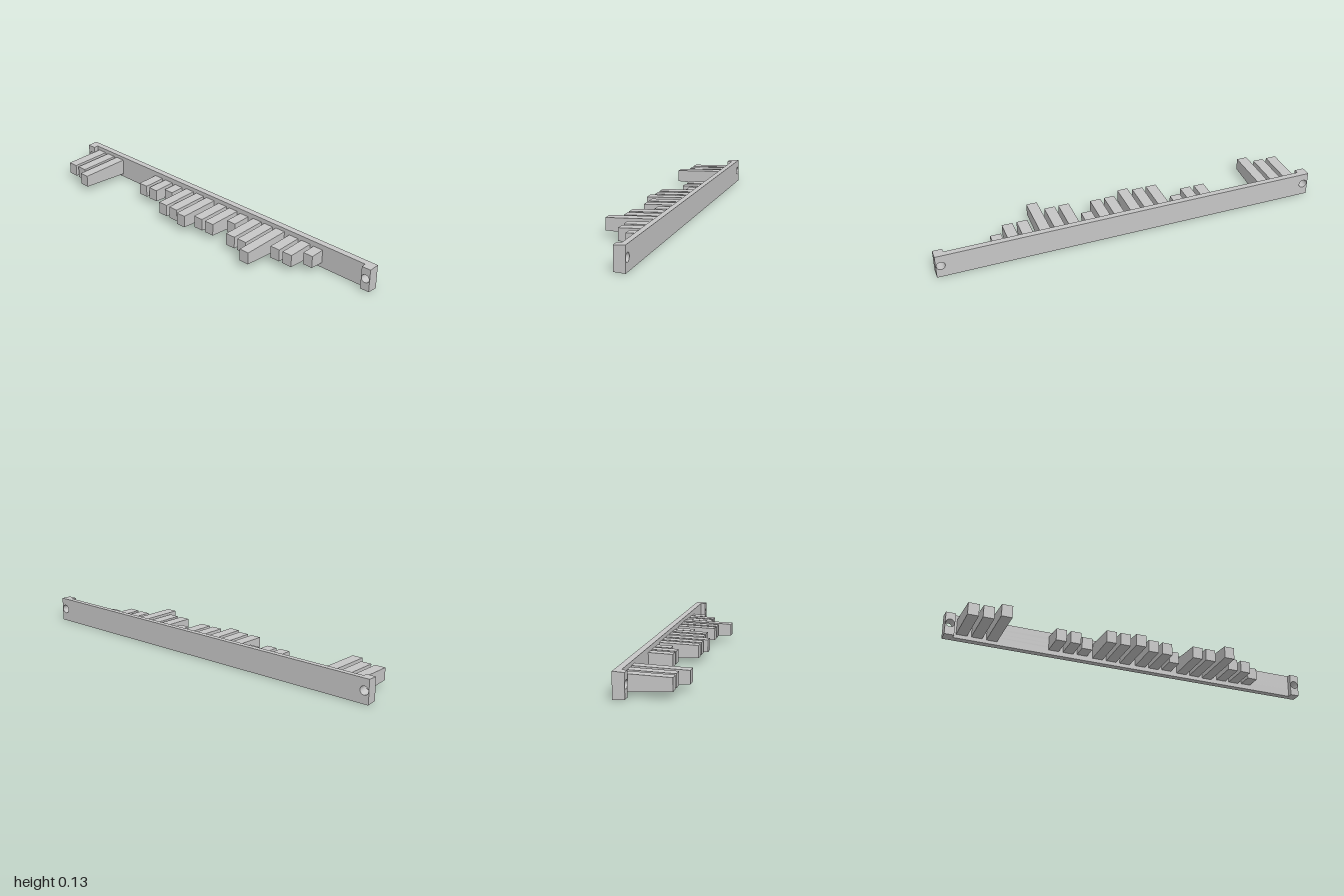
import * as THREE from 'three';

const MID = 0.0627;                       // height of the centre line
const BACK = -0.148, FACE = -0.117, PAD = -0.092;

const grey = new THREE.MeshStandardMaterial({ color: 0xc6c6c6 });
grey.name = 'light grey';

// Scale heights about the centre line as a function of depth (moulding draft)
function draft(geo, scaleAt) {
  const p = geo.attributes.position;
  for (let i = 0; i < p.count; i++) {
    p.setY(i, MID + (p.getY(i) - MID) * scaleAt(p.getZ(i)));
  }
  geo.computeVertexNormals();
  return geo;
}

// Rectangular slab from x0 to x1 with round screw holes
function slab(x0, x1, z0, z1, holes) {
  const s = new THREE.Shape();
  s.moveTo(x0, 0);
  s.lineTo(x1, 0);
  s.lineTo(x1, MID * 2);
  s.lineTo(x0, MID * 2);
  s.closePath();
  for (const x of holes) {
    s.holes.push(new THREE.Path().absarc(x, MID + 0.003, 0.022, 0, Math.PI * 2, true));
  }
  const geo = new THREE.ExtrudeGeometry(s, { depth: z1 - z0, bevelEnabled: false, curveSegments: 16 });
  geo.translate(0, 0, z0);
  return draft(geo, z => 1 - (z - BACK) * 0.95);
}

export function createModel() {
  const model = new THREE.Group();
  const add = (name, geo) => {
    const mesh = new THREE.Mesh(geo, grey);
    mesh.name = name;
    model.add(mesh);
  };

  // Long back rail and the raised screw pads at its ends
  add('rail', slab(-1, 1, BACK, FACE, [-0.975, 0.975]));
  add('rightPad', slab(-1, -0.951, FACE, PAD, [-0.975]));
  add('leftPad', slab(0.951, 1, FACE, PAD, [0.975]));

  // Fingers: [centre x, tip z]
  const fingers = [
    [-0.909, 0.102], [-0.833, 0.102], [-0.757, 0.148],
    [-0.433, 0.002], [-0.356, 0.002], [-0.28, -0.04],
    [-0.194, 0.082], [-0.118, 0.082], [-0.042, 0.102],
    [0.046, 0.063], [0.122, 0.063], [0.198, -0.019],
    [0.287, 0.082], [0.362, 0.082], [0.438, 0.148],
    [0.525, 0.023], [0.601, 0.023], [0.677, -0.04],
  ];
  fingers.forEach(([x, tip], i) => {
    const geo = new THREE.BoxGeometry(0.055, 0.063, tip - FACE);
    geo.translate(x, MID, (tip + FACE) / 2);
    add('finger' + (i + 1), draft(geo, z => 1 + (tip - z) * 1.33));
  });
  return model;
}
